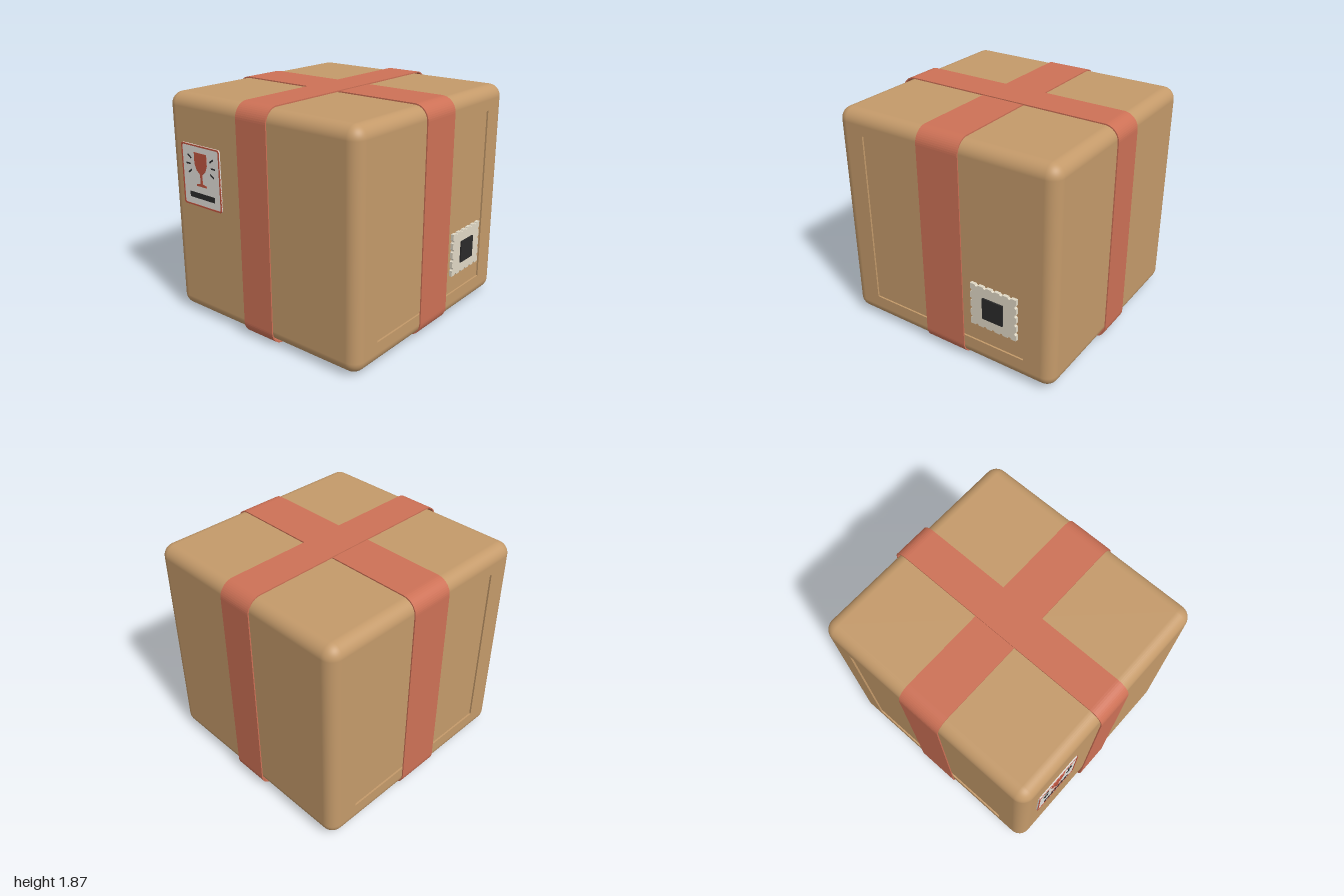
import * as THREE from 'three';
import { RoundedBoxGeometry } from 'three/addons/geometries/RoundedBoxGeometry.js';

const mat = (color) => new THREE.MeshStandardMaterial({ color });
const CARD = mat(0xc49a6a), TAPE = mat(0xcd7156), PAPER = mat(0xe0d8c5);
const DARK = mat(0x2b2b2b), WHITE = mat(0xe2dfda), RED = mat(0xc05540);

const W = 1.95, H = 1.825, D = 1.884, R = 0.1;   // carton size and edge radius
const CY = 0.02 + H / 2, CZ = -0.005;            // carton centre

function mesh(name, geometry, material, x = 0, y = 0, z = 0) {
  const m = new THREE.Mesh(geometry, material);
  m.name = name;
  m.position.set(x, y, z);
  return m;
}

// Rounded rectangle outline centred on the origin
function roundRect(w, h, r, target = new THREE.Shape()) {
  const x = w / 2, y = h / 2;
  target.moveTo(-x + r, -y);
  target.lineTo(x - r, -y);
  target.absarc(x - r, -y + r, r, -Math.PI / 2, 0);
  target.lineTo(x, y - r);
  target.absarc(x - r, y - r, r, 0, Math.PI / 2);
  target.lineTo(-x + r, y);
  target.absarc(-x + r, y - r, r, Math.PI / 2, Math.PI);
  target.lineTo(-x, -y + r);
  target.absarc(-x + r, -y + r, r, Math.PI, Math.PI * 1.5);
  return target;
}

function polygon(points, target = new THREE.Shape()) {
  return target.setFromPoints(points.map(([x, y]) => new THREE.Vector2(x, y)));
}

const rect = (w, h, y = 0, target) =>
  polygon([[-w / 2, y - h / 2], [w / 2, y - h / 2], [w / 2, y + h / 2], [-w / 2, y + h / 2]], target);

const slab = (shape, depth, curveSegments = 6) =>
  new THREE.ExtrudeGeometry(shape, { depth, bevelEnabled: false, curveSegments });

// Rounded carton, its flat front and back quads left open for the panels
function cartonShell() {
  const source = new RoundedBoxGeometry(W, H, D, 6, R);
  const pos = source.attributes.position, nor = source.attributes.normal;
  const p = [], n = [];
  for (let i = 0; i < pos.count; i += 3) {
    const open = [0, 1, 2].every((k) => Math.abs(pos.getZ(i + k)) > D / 2 - 1e-4);
    if (open) continue;
    for (let k = i; k < i + 3; k++) {
      p.push(pos.getX(k), pos.getY(k), pos.getZ(k));
      n.push(nor.getX(k), nor.getY(k), nor.getZ(k));
    }
  }
  const g = new THREE.BufferGeometry();
  g.setAttribute('position', new THREE.Float32BufferAttribute(p, 3));
  g.setAttribute('normal', new THREE.Float32BufferAttribute(n, 3));
  return g;
}

// Flat side with a shallow recessed square
function recessedSide(name) {
  const side = new THREE.Group();
  side.name = name;
  const size = 1.45, depth = 0.014, y = 0.935 - CY;
  const frame = rect(W - 2 * R, H - 2 * R);
  frame.holes.push(rect(size, size, y, new THREE.Path()));
  side.add(mesh('panelFrame', new THREE.ShapeGeometry(frame), CARD));
  side.add(mesh('panel', new THREE.PlaneGeometry(size, size), CARD, 0, y, -depth));
  for (let i = 0; i < 4; i++) {
    const wall = new THREE.PlaneGeometry(size, depth);
    wall.rotateX(-Math.PI / 2).translate(0, -size / 2, -depth / 2).rotateZ(i * Math.PI / 2);
    side.add(mesh('panelWall', wall, CARD, 0, y, 0));
  }
  return side;
}

// Closed band of tape, centred, running round the z axis
function tapeLoop(name, length, height, width) {
  const shape = roundRect(length, height, 0.12);
  shape.holes.push(roundRect(length - 0.02, height - 0.02, 0.11, new THREE.Path()));
  return mesh(name, slab(shape, width, 6).translate(0, 0, -width / 2), TAPE);
}

// Postage stamp with bites along every edge
function stamp() {
  const g = new THREE.Group();
  g.name = 'stamp';
  const w = 0.41, h = 0.365, r = 0.014;
  const shape = new THREE.Shape();
  const corners = [[-w / 2, -h / 2], [w / 2, -h / 2], [w / 2, h / 2], [-w / 2, h / 2]];
  shape.moveTo(...corners[0]);
  corners.forEach(([x0, y0], i) => {
    const [x1, y1] = corners[(i + 1) % 4];
    const bites = i % 2 ? 4 : 5, a = i * Math.PI / 2;
    for (let k = 0; k < bites; k++) {
      const t = (k + 0.8) / (bites + 0.6);
      shape.absarc(x0 + (x1 - x0) * t, y0 + (y1 - y0) * t, r, a + Math.PI, a, true);
    }
    shape.lineTo(x1, y1);
  });
  g.add(mesh('stampPaper', slab(shape, 0.026), PAPER));
  g.add(mesh('stampPicture', new THREE.BoxGeometry(0.182, 0.184, 0.012), DARK, 0, 0, 0.032));
  g.position.set(0.465, 0.553, 0.924);
  return g;
}

// Handling label: bordered sheet with a wine glass and shock marks
function handlingLabel() {
  const g = new THREE.Group();
  g.name = 'handlingLabel';
  g.add(mesh('labelSheet', slab(roundRect(0.43, 0.5, 0.02), 0.01), WHITE));
  const border = roundRect(0.43, 0.5, 0.02);
  border.holes.push(roundRect(0.405, 0.475, 0.015, new THREE.Path()));
  g.add(mesh('labelBorder', slab(border, 0.013), RED));
  const glass = polygon([
    [-0.06, -0.08], [0.06, -0.08], [0.055, -0.065], [0.012, -0.055], [0.012, 0.02], [0.05, 0.05],
    [0.07, 0.1], [0.07, 0.19], [-0.07, 0.19], [-0.07, 0.1], [-0.05, 0.05], [-0.012, 0.02],
    [-0.012, -0.055], [-0.055, -0.065]]);
  g.add(mesh('labelGlass', slab(glass, 0.013), RED));
  for (const s of [-1, 1]) {
    [[0.125, 0.15, 0.6], [0.14, 0.09, 0], [0.125, 0.03, -0.6]].forEach(([x, y, a]) => {
      const ray = mesh('labelRay', new THREE.BoxGeometry(0.045, 0.012, 0.006), DARK, s * x, y, 0.01);
      ray.rotation.z = s * a;
      g.add(ray);
    });
  }
  g.add(mesh('labelBar', new THREE.BoxGeometry(0.28, 0.045, 0.006), DARK, 0, -0.16, 0.01));
  g.rotation.y = -Math.PI / 2;
  g.position.set(-0.98, 1.22, -0.575);
  return g;
}

// Three curved arrows printed under the carton
function bottomMark() {
  const g = new THREE.Group();
  g.name = 'bottomMark';
  const ro = 0.12, ri = 0.085, end = 1.05;
  const at = (r, a) => [r * Math.cos(a), r * Math.sin(a)];
  const arrow = new THREE.Shape();
  arrow.absarc(0, 0, ro, 0, end);
  arrow.lineTo(...at(ro + 0.025, end));
  arrow.lineTo(...at((ro + ri) / 2, end + 0.5));
  arrow.lineTo(...at(ri - 0.025, end));
  arrow.absarc(0, 0, ri, end, 0, true);
  for (let i = 0; i < 3; i++) {
    const m = mesh('markArrow', slab(arrow, 0.004), DARK);
    m.rotation.z = i * Math.PI * 2 / 3;
    g.add(m);
  }
  g.rotation.x = Math.PI / 2;
  g.position.set(-0.74, 0.021, 0.7);
  return g;
}

export function createModel() {
  const model = new THREE.Group();
  model.name = 'parcel';

  const carton = new THREE.Group();
  carton.name = 'carton';
  carton.position.set(0, CY, CZ);
  carton.add(mesh('cartonShell', cartonShell(), CARD));
  const front = recessedSide('frontSide'), back = recessedSide('backSide');
  front.position.z = D / 2;
  back.position.z = -D / 2;
  back.rotation.y = Math.PI;
  carton.add(front, back);

  const sideTape = tapeLoop('sideTape', 2, 1.865, 0.3);
  sideTape.position.set(0, 0.9325, CZ);
  const frontTape = tapeLoop('frontTape', 1.914, 1.85, 0.37);
  frontTape.rotation.y = Math.PI / 2;
  frontTape.position.set(0, 0.9325, CZ);

  model.add(carton, sideTape, frontTape, stamp(), handlingLabel(), bottomMark());
  return model;
}
